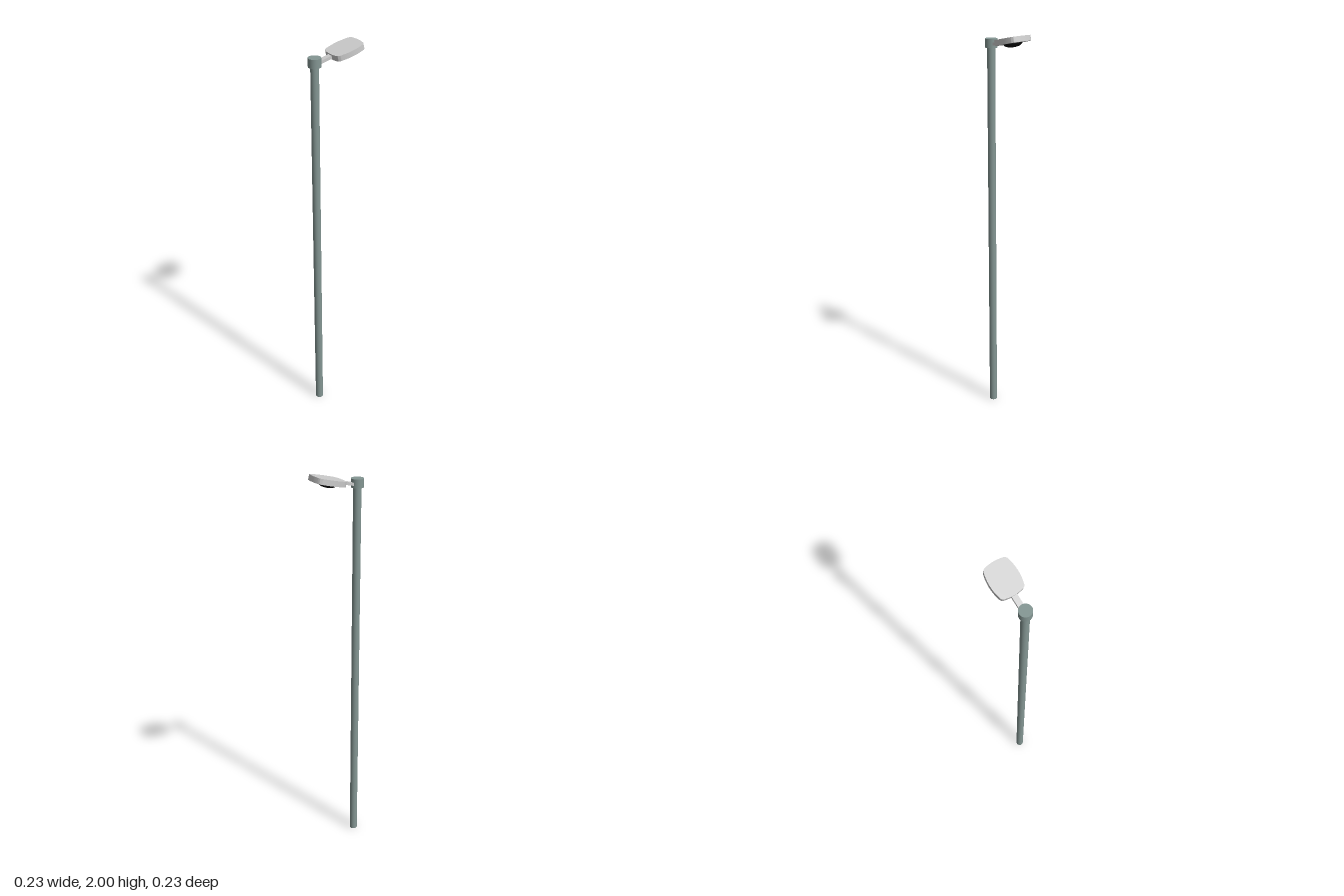
import * as THREE from 'three';
import { toCreasedNormals } from 'three/addons/utils/BufferGeometryUtils.js';

const POLE_X = -0.085, POLE_Z = 0.083;
const TILT = THREE.MathUtils.degToRad(13);

export function createModel() {
  const root = new THREE.Group();
  root.name = 'streetLight';
  const poleMat = new THREE.MeshStandardMaterial({ color: 0x849693 });
  const greyMat = new THREE.MeshStandardMaterial({ color: 0xcccccc });
  const lensMat = new THREE.MeshStandardMaterial({ color: 0x0a0a0a });

  const add = (parent, name, geometry, material, x, y, z) => {
    const mesh = new THREE.Mesh(geometry, material);
    mesh.name = name;
    mesh.position.set(x, y, z);
    parent.add(mesh);
    return mesh;
  };

  // Upright pole and the wider cap on top
  add(root, 'pole', new THREE.CylinderGeometry(0.0195, 0.0195, 1.94, 32), poleMat, POLE_X, 0.97, POLE_Z);
  add(root, 'poleCap', new THREE.CylinderGeometry(0.03, 0.03, 0.042, 32), poleMat, POLE_X, 1.941, POLE_Z);

  // Lamp assembly: local +x runs along the arm, turned diagonally and tilted upward
  const lamp = new THREE.Group();
  lamp.name = 'lamp';
  lamp.rotation.set(0, Math.PI / 4, TILT, 'YZX');
  lamp.position.set(POLE_X + 0.156 * Math.SQRT1_2, 1.982, POLE_Z - 0.156 * Math.SQRT1_2);
  root.add(lamp);

  // Head housing: a rounded rectangle with gently bulging edges
  const T = 0.026, L = 0.079, W = 0.066;
  const outline = new THREE.Shape();
  outline.moveTo(-0.058, -0.058);
  outline.quadraticCurveTo(0, -2 * W + 0.058, 0.058, -0.058);
  outline.quadraticCurveTo(0.073, -0.055, 0.075, -0.038);
  outline.quadraticCurveTo(2 * L - 0.075, 0, 0.075, 0.038);
  outline.quadraticCurveTo(0.073, 0.055, 0.058, 0.058);
  outline.quadraticCurveTo(0, 2 * W - 0.058, -0.058, 0.058);
  outline.quadraticCurveTo(-0.073, 0.055, -0.075, 0.038);
  outline.quadraticCurveTo(-2 * L + 0.075, 0, -0.075, -0.038);
  outline.quadraticCurveTo(-0.073, -0.055, -0.058, -0.058);
  const housing = new THREE.ExtrudeGeometry(outline, { depth: T, bevelEnabled: false, curveSegments: 10 });
  housing.rotateX(-Math.PI / 2);
  add(lamp, 'headHousing', toCreasedNormals(housing, 0.6), greyMat, 0, -T, 0);

  // Shallow domed lens under the head
  const dome = new THREE.SphereGeometry(0.044, 32, 10, 0, Math.PI * 2, Math.PI / 2, Math.PI / 2);
  dome.scale(1, 0.4, 1);
  add(lamp, 'lens', dome, lensMat, 0, -T, 0);

  // Arm from the cap into the head
  add(lamp, 'arm', new THREE.BoxGeometry(0.085, 0.014, 0.026), greyMat, -0.11, -T / 2, 0);

  return root;
}
